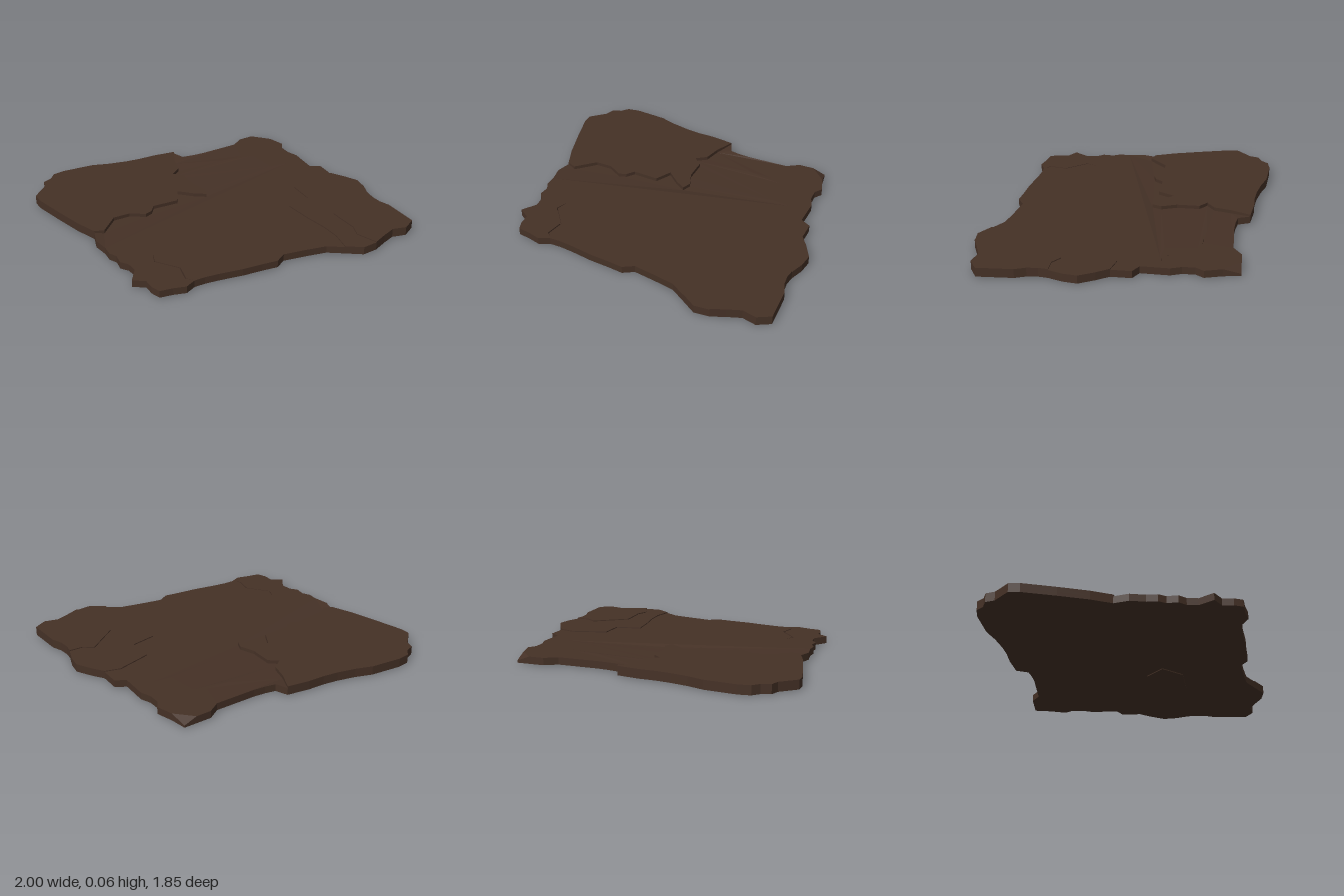
import * as THREE from 'three';

const material = new THREE.MeshStandardMaterial({ color: 0x453126 });

// Outline points are [x, z]; the slab runs from y0 to y1, with an optional rule for the top height
function slab(name, pts, y0, y1, topAt, holes = []) {
  const toV = (list) => list.map(([x, z]) => new THREE.Vector2(x, -z));
  const shape = new THREE.Shape(toV(pts));
  holes.forEach((h) => shape.holes.push(new THREE.Path(toV(h))));
  const geo = new THREE.ExtrudeGeometry(shape, { depth: y1 - y0, bevelEnabled: false });
  geo.rotateX(-Math.PI / 2).translate(0, y0, 0);
  const p = geo.attributes.position;
  if (topAt) {
    for (let i = 0; i < p.count; i++) {
      if (p.getY(i) > (y0 + y1) / 2) p.setY(i, topAt(p.getX(i), p.getZ(i)));
    }
  }
  geo.computeVertexNormals();
  const mesh = new THREE.Mesh(geo, material);
  mesh.name = name;
  return mesh;
}

// Thin closed sliver along a path, pointed at both ends
function sliver(path, dx, dz) {
  const back = path.slice(1, -1).reverse().map(([x, z]) => [x + dx, z + dz]);
  return [...path, ...back];
}

const near = (list, x, z) => list.some(([a, b]) => Math.hypot(a - x, b - z) < 1e-3);

export function createModel() {
  const group = new THREE.Group();
  group.name = 'crackedSlab';

  // Outer edge of the back right plate
  const backEdge = [
    [-0.85, -0.095], [-0.9, -0.23], [-0.95, -0.42], [-1, -0.63], [-1, -0.7], [-0.9, -0.79],
    [-0.88, -0.85], [-0.82, -0.87], [-0.78, -0.915], [-0.7, -0.925], [-0.49, -0.9], [-0.38, -0.86],
    [-0.26, -0.83], [-0.16, -0.815], [-0.05, -0.81], [0.1, -0.785],
  ];
  // Long crack dividing that plate from the rest
  const crack = [
    [0.04, -0.66], [0.01, -0.55], [-0.06, -0.5], [-0.005, -0.45], [-0.01, -0.3], [0.025, -0.2],
    [0, -0.14], [-0.07, -0.19], [-0.15, -0.27], [-0.21, -0.165], [-0.38, -0.18], [-0.42, -0.13],
    [-0.47, -0.115], [-0.56, -0.175], [-0.67, -0.18], [-0.79, -0.07],
  ];
  // Remaining outer edge, in sections that the plates share
  const leftBackEdge = [
    [0.1, -0.785], [0.13, -0.705], [0.2, -0.69], [0.28, -0.682], [0.55, -0.68], [0.63, -0.73], [0.73, -0.73],
    [0.83, -0.62], [0.86, -0.51], [0.825, -0.46], [0.825, -0.38], [0.85, -0.31], [0.84, -0.13], [0.905, -0.09],
  ];
  const leftEdge = [[0.9, 0.04], [0.95, 0.12], [1, 0.22], [0.985, 0.31]];
  const cornerEdge = [
    [0.95, 0.4], [0.94, 0.46], [0.945, 0.53], [0.97, 0.6], [0.975, 0.83],
    [0.89, 0.875], [0.8, 0.85], [0.71, 0.88], [0.62, 0.915],
  ];
  const frontStart = [[0.52, 0.92], [0.425, 0.852]];
  const frontEdge = [
    [0.33, 0.785], [0.2, 0.755], [0.05, 0.725], [-0.02, 0.765], [-0.12, 0.75], [-0.25, 0.735],
    [-0.4, 0.705], [-0.49, 0.692], [-0.56, 0.69], [-0.63, 0.72], [-0.71, 0.695], [-0.79, 0.68],
  ];
  const rightEdge = [
    [-0.81, 0.62], [-0.81, 0.55], [-0.88, 0.5], [-0.815, 0.41], [-0.82, 0.34], [-0.855, 0.29],
    [-0.845, 0.22], [-0.87, 0.17], [-0.865, 0.1], [-0.88, 0], [-0.85, -0.095],
  ];
  const restEdge = [...leftBackEdge, ...leftEdge, ...cornerEdge, ...frontStart, ...frontEdge, ...rightEdge];

  // Short surface cracks
  const smallCracks = [
    sliver([[-0.64, 0.31], [-0.677, 0.39], [-0.575, 0.53], [-0.6, 0.645], [-0.565, 0.68]], 0.008, 0),
    sliver([[0.36, -0.51], [0.45, -0.49], [0.5, -0.5], [0.575, -0.465]], 0, 0.008),
    sliver([[0.6, -0.26], [0.68, -0.3], [0.72, -0.25], [0.81, -0.27]], 0, 0.008),
  ];

  // Base under everything
  group.add(slab('base', [...backEdge, ...restEdge.slice(1, -1)], 0.006, 0.03));
  // Main layer, sinking towards the long crack
  group.add(slab('mainPlate', [...restEdge, ...crack.slice().reverse()], 0.03, 0.053,
    (x, z) => (near(crack, x, z) ? 0.042 : 0.053), smallCracks));
  // Highest plate behind the crack
  group.add(slab('backPlate', [...backEdge, ...crack], 0.03, 0.065));
  // Stepped plates rising towards the front left corner
  group.add(slab('middlePlate', [
    ...leftEdge, ...cornerEdge, ...frontStart,
    [0.45, 0.72], [0.445, 0.6], [0.42, 0.45], [0.4, 0.27], [0.567, 0.24], [0.57, 0.07], [0.8, 0.01],
  ], 0.03, 0.059));
  group.add(slab('cornerPlate', [
    ...cornerEdge, [0.57, 0.78], [0.6, 0.7], [0.59, 0.5], [0.7, 0.42], [0.8, 0.345], [0.86, 0.395],
  ], 0.03, 0.065));
  // Chipped back left corner, sloping down to its tip
  group.add(slab('chippedCorner', [[0.73, -0.73], [0.815, -0.73], [0.83, -0.62]], 0.006, 0.053,
    (x) => (near([[0.815, 0]], x, 0) ? 0.02 : 0.053)));
  // Thin flake beneath
  group.add(slab('undersideFlake', [
    [0.08, 0.2], [0.2, 0.1], [0.45, 0.12], [0.57, 0.25], [0.4, 0.37], [0.18, 0.34],
  ], 0, 0.007));

  return group;
}
